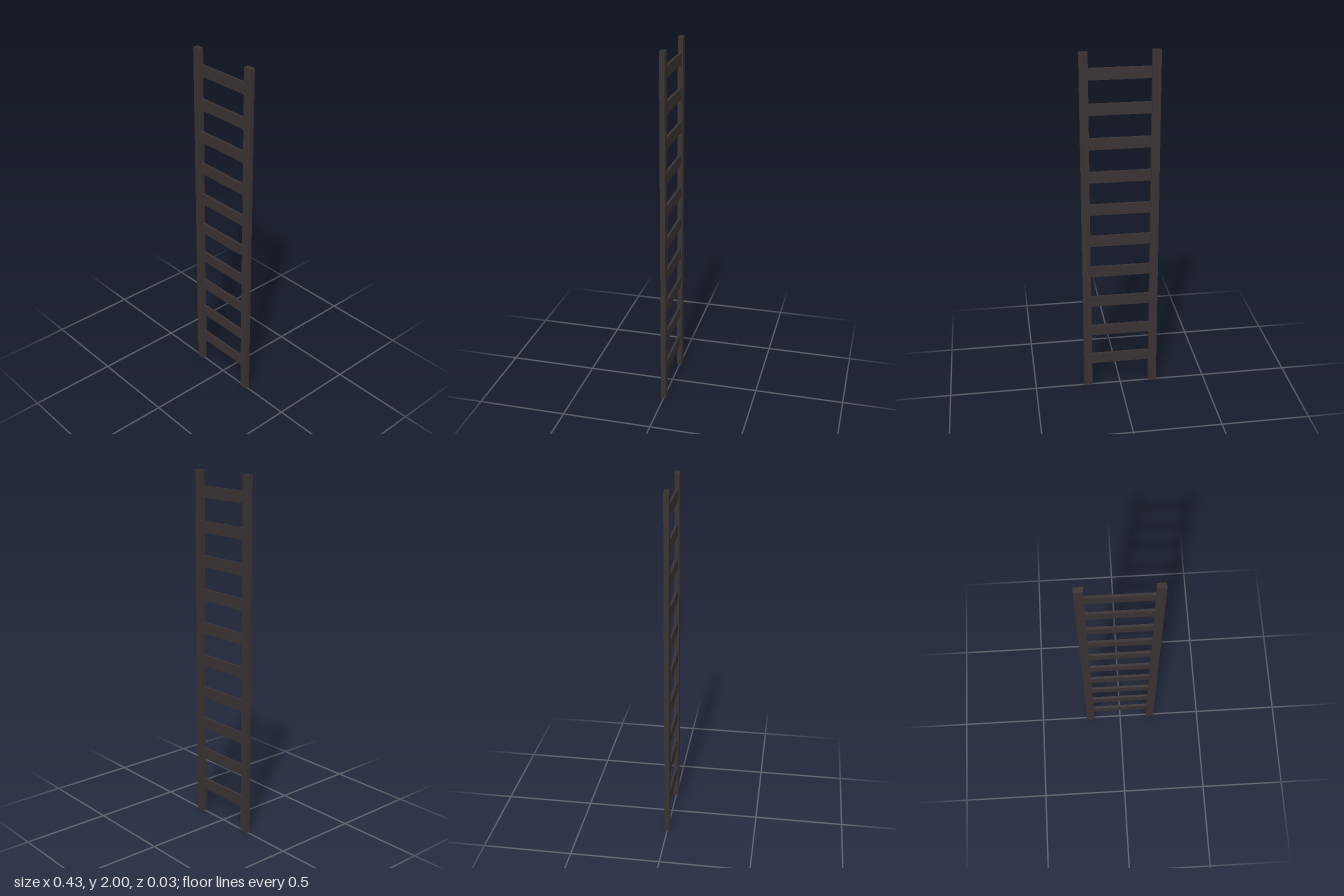
import * as THREE from 'three';

export function createModel() {
  const ladder = new THREE.Group();
  ladder.name = 'ladder';
  const material = new THREE.MeshStandardMaterial({ color: 0x3a3232 });
  material.name = 'dark brown';

  const addBox = (name, size, position) => {
    const mesh = new THREE.Mesh(new THREE.BoxGeometry(...size), material);
    mesh.name = name;
    mesh.position.set(...position);
    ladder.add(mesh);
  };

  // Side rails
  for (const side of [-1, 1]) {
    addBox(side > 0 ? 'leftRail' : 'rightRail', [0.046, 2, 0.028], [side * 0.191, 1, 0]);
  }

  // Flat rungs, evenly spaced between the rails
  const rungCount = 10, firstRung = 0.18, spacing = 0.1893;
  for (let i = 0; i < rungCount; i++) {
    addBox(`rung${i + 1}`, [0.338, 0.063, 0.014], [0, firstRung + i * spacing, 0]);
  }

  return ladder;
}
